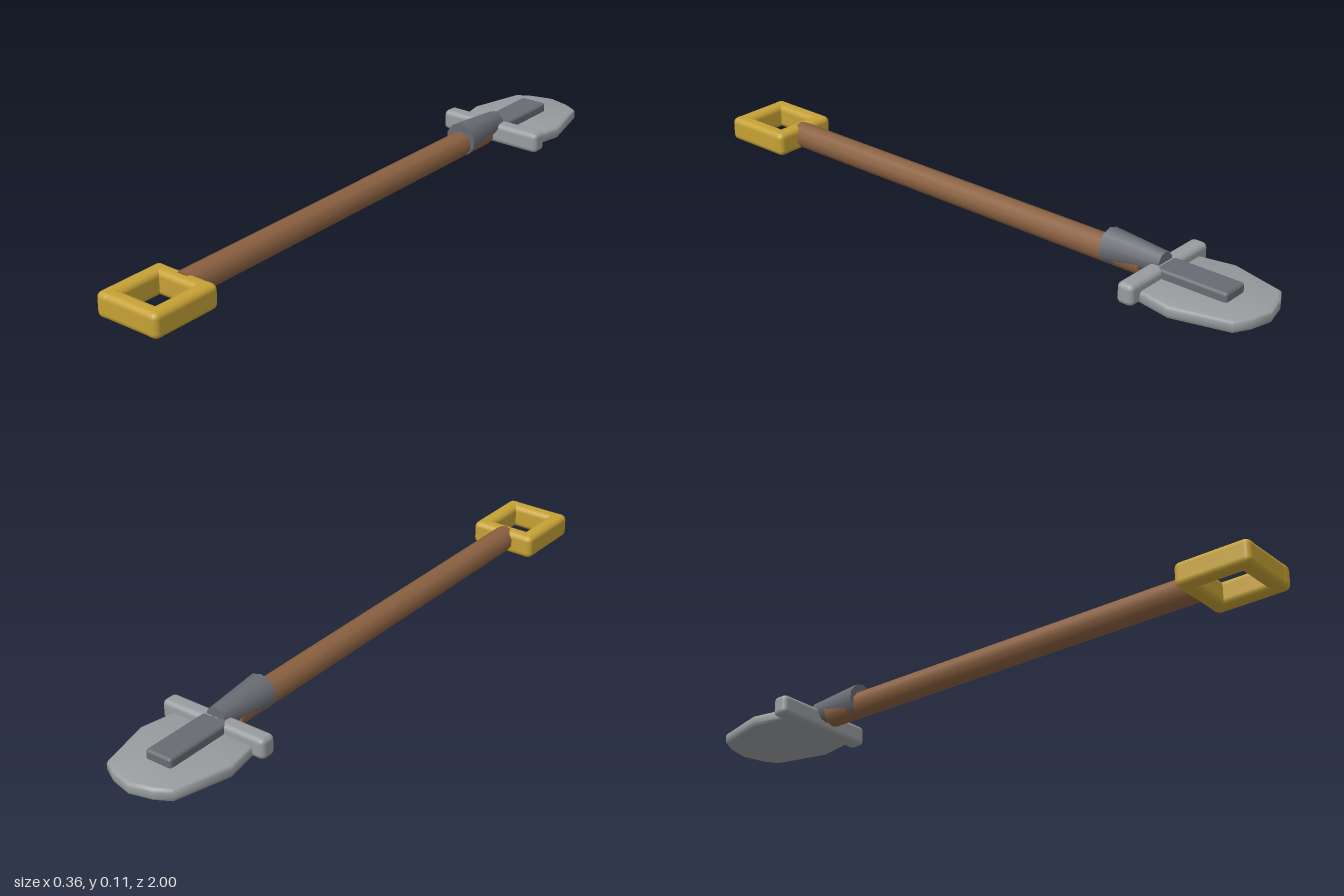
import * as THREE from 'three';
import { toCreasedNormals } from 'three/addons/utils/BufferGeometryUtils.js';
import { RoundedBoxGeometry } from 'three/addons/geometries/RoundedBoxGeometry.js';

const material = (name, color) => {
  const m = new THREE.MeshStandardMaterial({ color });
  m.name = name;
  return m;
};

export function createModel() {
  const wood = material('brown wood', 0x8b6141);
  const steel = material('light steel', 0x989c9e);
  const iron = material('dark iron', 0x686b72);
  const brass = material('yellow grip', 0xc5a135);

  const group = new THREE.Group();
  group.name = 'shovel';

  const add = (name, geometry, mat, x = 0, y = 0, z = 0) => {
    const mesh = new THREE.Mesh(geometry, mat);
    mesh.name = name;
    mesh.position.set(x, y, z);
    group.add(mesh);
    return mesh;
  };
  const roundedBar = (w, h, d, r) => new RoundedBoxGeometry(w, h, d, 2, r);
  // ten-sided rod along z, first radius at the front end
  const rod = (rFront, rBack, length) =>
    new THREE.CylinderGeometry(rFront, rBack, length, 10).rotateX(Math.PI / 2);

  // wooden shaft, running into the socket
  add('shaft', rod(0.04, 0.04, 1.38), wood, 0, 0.043, 0.1);

  // tapered socket, tilted slightly up towards the blade
  const socket = add('socket', rod(0.053, 0.033, 0.19), iron, 0, 0.06, -0.56);
  socket.rotation.x = 0.03;

  // rectangular grip made of four rounded bars
  for (const side of [-1, 1]) {
    add(side > 0 ? 'gripSideLeft' : 'gripSideRight',
      roundedBar(0.05, 0.076, 0.235, 0.018), brass, side * 0.085, 0.039, 0.8825);
  }
  add('gripFrontBar', roundedBar(0.18, 0.076, 0.05, 0.018), brass, 0, 0.039, 0.974);
  add('gripBackBar', roundedBar(0.18, 0.076, 0.05, 0.018), brass, 0, 0.039, 0.791);

  // foot rest across the top of the blade
  add('footRest', roundedBar(0.36, 0.065, 0.054, 0.016), steel, 0, 0.0335, -0.648);

  // bevelled blade: half outline as [x, distance towards the back], mirrored
  const half = [[0.14, 0.66], [0.163, 0.78], [0.117, 0.955], [0.07, 0.982]];
  const mirrored = half.map(([x, y]) => [-x, y]).reverse();
  const outline = [...half, [0, 1], ...mirrored].map(([x, y]) => new THREE.Vector2(x, y));
  const bevel = 0.009;
  const blade = new THREE.ExtrudeGeometry(new THREE.Shape(outline), {
    depth: 0.018, bevelThickness: bevel, bevelSize: bevel, bevelOffset: -bevel, bevelSegments: 2,
  }).rotateX(-Math.PI / 2);
  add('blade', toCreasedNormals(blade, 0.9), steel, 0, bevel + 0.002, 0);

  // raised spine lying on the blade
  add('spine', roundedBar(0.09, 0.036, 0.24, 0.01), iron, 0, 0.048, -0.765);

  return group;
}
